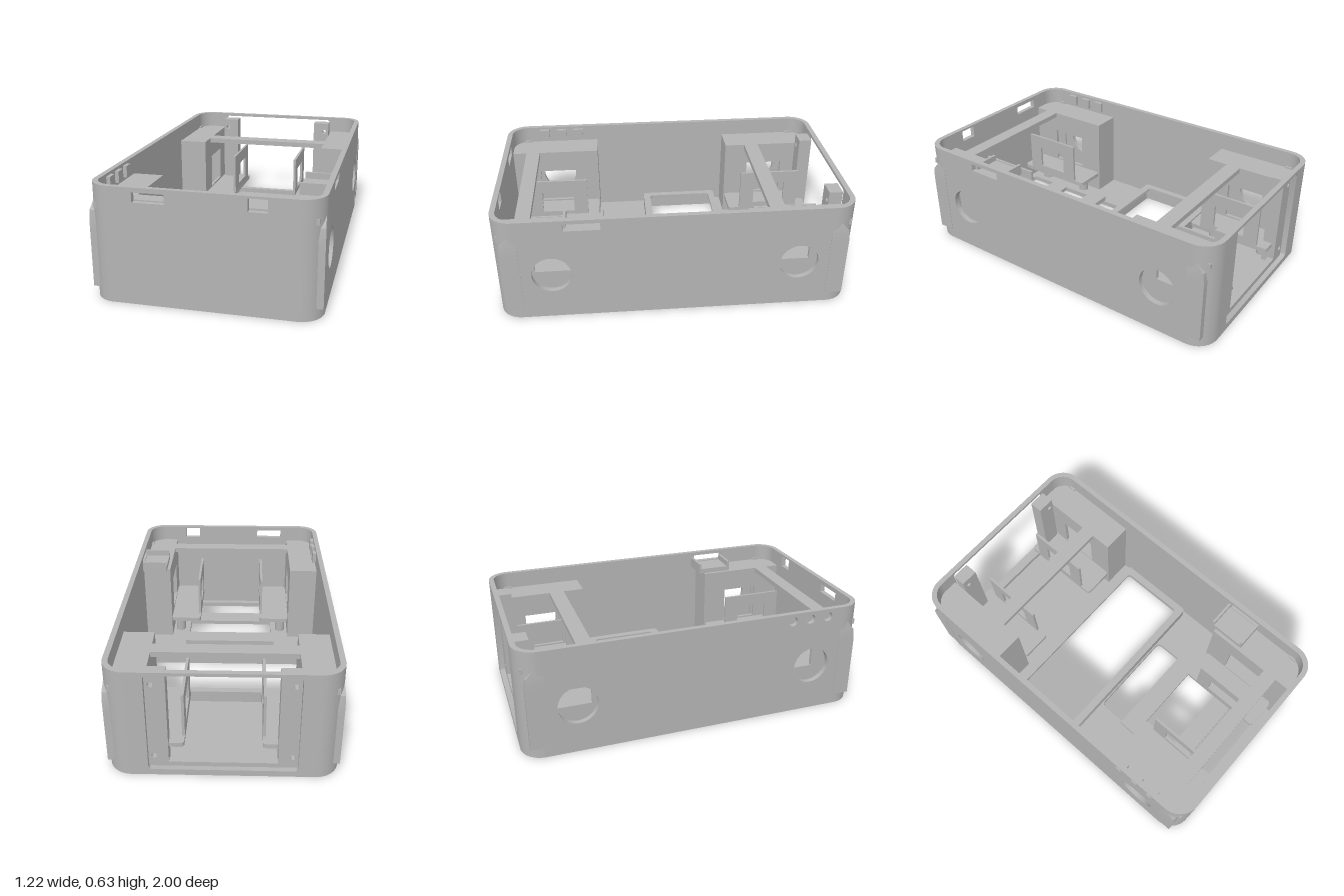
import * as THREE from 'three';
import { toCreasedNormals } from 'three/addons/utils/BufferGeometryUtils.js';

const W = 0.605, D = 1, H = 0.63, T = 0.03, R = 0.125;

export function createModel() {
  const model = new THREE.Group();
  model.name = 'deviceHousing';
  const grey = new THREE.MeshStandardMaterial({ color: 0xb4b4b4 });
  grey.name = 'housingGrey';

  const add = (name, geo) => {
    const mesh = new THREE.Mesh(geo, grey);
    mesh.name = name;
    model.add(mesh);
    return mesh;
  };

  // Box given by its limits on each axis
  const box = (name, x0, x1, y0, y1, z0, z1) => {
    const g = new THREE.BoxGeometry(Math.abs(x1 - x0), y1 - y0, Math.abs(z1 - z0));
    return add(name, g.translate((x0 + x1) / 2, (y0 + y1) / 2, (z0 + z1) / 2));
  };

  // Rounded rectangle outline, usable as a shape or as a hole
  const rect = (a0, a1, b0, b1, r = 0) => {
    const s = new THREE.Shape();
    if (!r) {
      s.moveTo(a0, b0).lineTo(a1, b0).lineTo(a1, b1).lineTo(a0, b1).closePath();
      return s;
    }
    s.moveTo(a0 + r, b0).lineTo(a1 - r, b0);
    s.absarc(a1 - r, b0 + r, r, -Math.PI / 2, 0);
    s.absarc(a1 - r, b1 - r, r, 0, Math.PI / 2);
    s.absarc(a0 + r, b1 - r, r, Math.PI / 2, Math.PI);
    s.absarc(a0 + r, b0 + r, r, Math.PI, Math.PI * 1.5);
    return s;
  };
  const circle = (a, b, r) => {
    const s = new THREE.Shape();
    s.absarc(a, b, r, 0, Math.PI * 2);
    return s;
  };

  const extrude = (shape, holes, depth) => {
    shape.holes.push(...holes);
    return new THREE.ExtrudeGeometry(shape, { depth, bevelEnabled: false, curveSegments: 16 });
  };
  // Panels: flat shapes drawn in (x, z), (z, y) and (x, y)
  const slab = (name, shape, holes, y0, y1) =>
    add(name, toCreasedNormals(extrude(shape, holes, y1 - y0).rotateX(Math.PI / 2).translate(0, y1, 0), 0.5));
  const sidePanel = (name, shape, holes, x0, x1) =>
    add(name, toCreasedNormals(extrude(shape, holes, x1 - x0).rotateY(-Math.PI / 2).translate(x1, 0, 0), 0.5));
  const endPanel = (name, shape, holes, z0, z1) =>
    add(name, toCreasedNormals(extrude(shape, holes, z1 - z0).translate(0, 0, z0), 0.5));

  // Floor with stepped window, front opening and screw holes
  const screwHoles = [];
  for (const x of [-0.35, 0.35]) for (const z of [-0.86, -0.53, 0.53, 0.86]) screwHoles.push(circle(x, z, 0.013));
  slab('floor', rect(-W, W, -D, D, R),
    [rect(-0.54, 0.54, -0.36, 0.105, 0.02), rect(-0.285, 0.285, 0.128, 0.935, 0.03), ...screwHoles], 0, T);
  slab('windowFrame', rect(-0.56, 0.56, -0.375, 0.12, 0.02), [rect(-0.54, 0.54, -0.36, 0.105, 0.02)], T, 0.08);
  slab('windowLedge', rect(-0.56, 0.56, -0.375, 0.12, 0.02), [rect(-0.52, 0.515, -0.335, 0.075, 0.02)], 0.08, 0.1);

  // Side walls: wheel holes, slot on the left, button holes on the right
  const wheelHoles = () => [-0.69, 0.69].map((z) => circle(z, 0.285, 0.11));
  const buttonZ = [0.55, 0.66, 0.77];
  const wall = () => rect(-D + R, D - R, T, H);
  sidePanel('leftWall', wall(), [...wheelHoles(), rect(0.41, 0.61, 0.565, 0.608)], W - T, W);
  sidePanel('rightWall', wall(), [...wheelHoles(), ...buttonZ.map((z) => circle(z, 0.583, 0.028))], -W, -W + T);
  for (const z of buttonZ) box('buttonSeat', -W + T - 0.002, -W + 0.052, 0.55, 0.615, z - 0.03, z + 0.03);

  // Front wall with two latch slots, back wall with service opening
  endPanel('frontWall', rect(-W + R, W - R, T, H),
    [rect(-0.355, -0.185, 0.553, 0.605), rect(0.235, 0.333, 0.55, 0.618)], D - T, D);
  endPanel('backWall', rect(-W + R, W - R, T, H), [rect(-0.39, 0.39, 0.035, 0.612, 0.02)], -D, -D + T);

  // Rounded corners
  for (const [sx, sz, a] of [[1, 1, 0], [-1, 1, 1], [-1, -1, 2], [1, -1, 3]]) {
    const cx = sx * (W - R), cz = sz * (D - R), a0 = a * Math.PI / 2, a1 = a0 + Math.PI / 2;
    const s = new THREE.Shape();
    s.absarc(cx, cz, R, a0, a1, false);
    s.absarc(cx, cz, R - T, a1, a0, true);
    slab('cornerWall', s, [], T, H);

    // Corner rail, tapering away at its top
    const rail = new THREE.BoxGeometry(0.045, 0.48, 0.1, 1, 8, 1);
    const p = rail.attributes.position;
    for (let i = 0; i < p.count; i++) {
      const t = Math.max(0, (p.getY(i) - 0.17) / 0.07);
      if (p.getZ(i) * sz > 0) p.setZ(i, p.getZ(i) - sz * 0.06 * t);
      if (p.getX(i) * sx > 0) p.setX(i, p.getX(i) - sx * 0.008 * t);
    }
    rail.translate(sx * 0.585, 0.3, sz * 0.91);
    add('cornerRail', toCreasedNormals(rail, 0.5));
  }

  // Service opening: screw posts with holes and a sill
  for (const s of [-1, 1]) {
    const x0 = s > 0 ? 0.285 : -0.39;
    endPanel('screwPost', rect(x0, x0 + 0.105, T, 0.6),
      [circle(s * 0.36, 0.1, 0.015), circle(s * 0.36, 0.54, 0.015)], -0.968, -0.89);
  }
  box('openingSill', -0.285, 0.285, T, 0.06, -0.968, -0.93);

  // Four wheel housings with motor trays
  for (const sx of [-1, 1]) for (const sz of [-1, 1]) {
    box('housingTop', sx * 0.4, sx * 0.576, 0.5, 0.53, sz * 0.425, sz * 0.971);
    box('housingEndWall', sx * 0.4, sx * 0.576, T, 0.5, sz * 0.425, sz * 0.45);
    const zr = sz > 0 ? [0.45, 0.971] : [-0.971, -0.45];
    const hole = (z0, z1, y0, y1) => (sz > 0 ? rect(z0, z1, y0, y1) : rect(-z1, -z0, y0, y1));
    const xi = sx > 0 ? 0.4 : -0.42;
    sidePanel('housingInnerWall', rect(zr[0], zr[1], T, 0.5), [hole(0.575, 0.805, 0.175, 0.395)], xi, xi + 0.02);

    // Motor tray on posts with a square bracket on its inner edge
    const tx = sx > 0 ? [0.205, 0.4] : [-0.4, -0.205];
    const tz = sz > 0 ? [0.43, 0.945] : [-0.945, -0.43];
    slab('motorTray', rect(tx[0], tx[1], tz[0], tz[1], 0.02),
      [], 0.14, 0.165);
    const bx = sx > 0 ? 0.205 : -0.22;
    sidePanel('motorBracket', hole(0.5, 0.88, 0.165, 0.42), [hole(0.59, 0.79, 0.2, 0.34)], bx, bx + 0.015);
    for (const z of [0.53, 0.86]) {
      const post = new THREE.CylinderGeometry(0.032, 0.032, 0.11, 24);
      add('trayPost', post.translate(sx * 0.35, T + 0.055, sz * z));
    }
  }

  // Beams joining the housings and bars over the front opening
  box('rearBeam', -0.4, 0.4, 0.5, 0.53, -0.64, -0.55);
  box('frontBeam', -0.4, 0.4, 0.5, 0.53, 0.8, 0.885);
  box('rearCrossBar', -0.3, 0.3, T, 0.06, 0.3, 0.42);
  box('frontCrossBar', -0.29, 0.29, 0.005, T, 0.64, 0.765);

  // Port tray by the left slot
  box('portTray', 0.42, 0.576, 0.53, 0.56, 0.39, 0.61);
  box('portTrayBackLip', 0.42, 0.576, 0.56, 0.595, 0.39, 0.405);
  box('portTrayFrontLip', 0.42, 0.576, 0.56, 0.595, 0.595, 0.61);

  return model;
}
